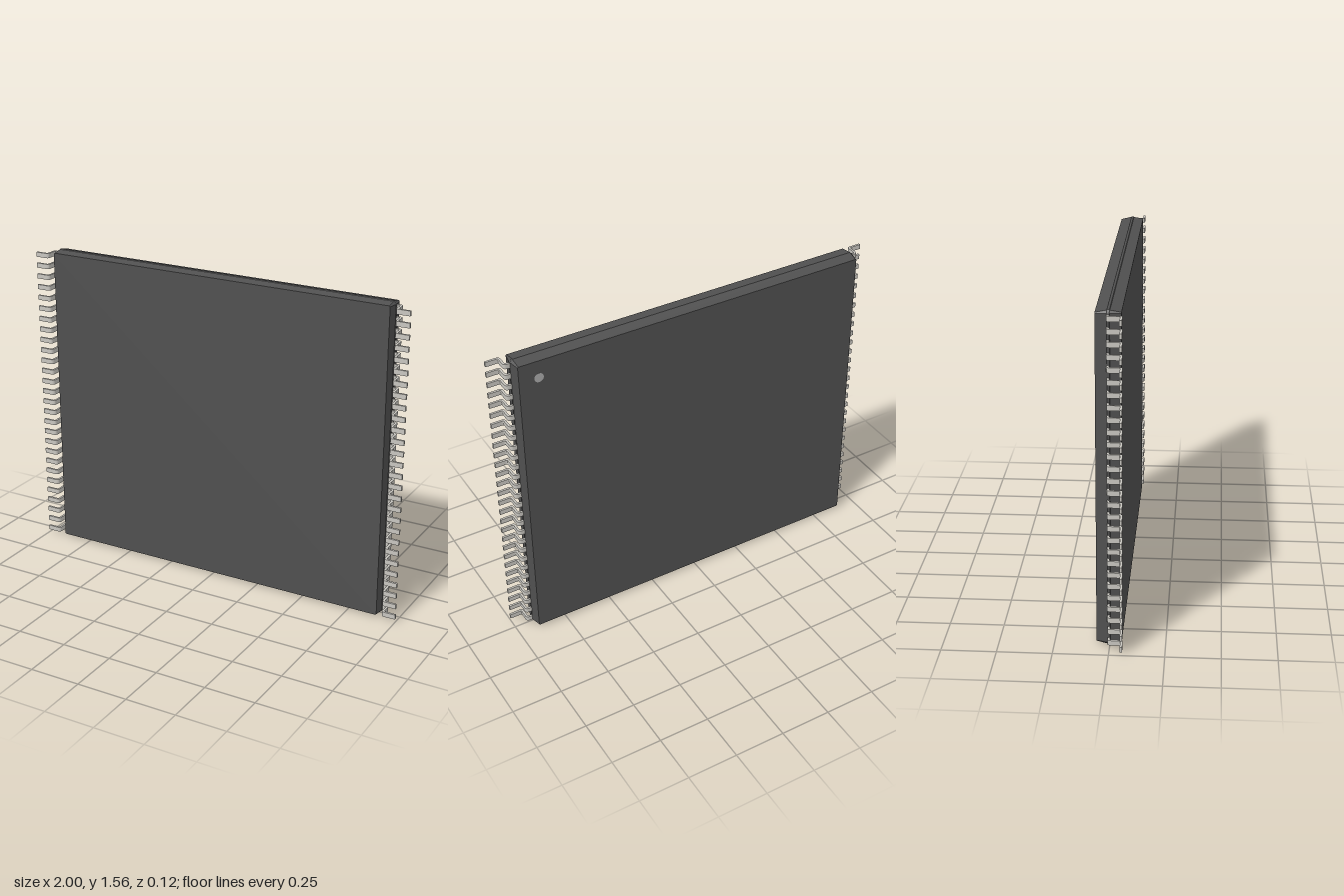
import * as THREE from 'three';

const HALF_H = 0.78, LEADS = 28, PITCH = 0.0557, LEAD_W = 0.024;

// Eight-sided rectangle outline with small chamfered corners at depth z
function ring(hx, hy, c, z) {
  return [
    [hx, -hy + c], [hx, hy - c], [hx - c, hy], [-hx + c, hy],
    [-hx, hy - c], [-hx, -hy + c], [-hx + c, -hy], [hx - c, -hy],
  ].map(([x, y]) => [x, y + HALF_H, z]);
}

// Moulded package: cross-sections stacked from back to front, capped at both ends
function bodyGeometry() {
  const rings = [
    ring(0.897, 0.767, 0.004, -0.0605),
    ring(0.908, 0.778, 0.012, -0.011),
    ring(0.910, 0.780, 0.014, -0.009),
    ring(0.910, 0.780, 0.014, 0.002),
    ring(0.908, 0.778, 0.012, 0.004),
    ring(0.900, 0.770, 0.004, 0.0525),
  ];
  const pos = [];
  const tri = (a, b, c) => pos.push(...a, ...b, ...c);
  for (let i = 0; i < rings.length - 1; i++) {
    for (let j = 0; j < 8; j++) {
      const k = (j + 1) % 8, lo = rings[i], hi = rings[i + 1];
      tri(lo[j], lo[k], hi[k]);
      tri(lo[j], hi[k], hi[j]);
    }
  }
  const back = rings[0], front = rings[rings.length - 1];
  for (let j = 1; j < 7; j++) {
    tri(front[0], front[j], front[j + 1]);
    tri(back[0], back[j + 1], back[j]);
  }
  const g = new THREE.BufferGeometry();
  g.setAttribute('position', new THREE.Float32BufferAttribute(pos, 3));
  g.computeVertexNormals();
  return g;
}

// Gull-wing lead: bent strip profile in x/z, extruded along y
function leadGeometry(side) {
  const s = new THREE.Shape();
  const to = (x, z) => s.lineTo(side * x, z);
  const bend = (cx, cz, x, z) => s.quadraticCurveTo(side * cx, cz, side * x, z);
  s.moveTo(side * 0.89, -0.010);
  to(0.924, -0.010);
  bend(0.940, -0.010, 0.940, 0.006);
  to(0.940, 0.043);
  bend(0.940, 0.0495, 0.947, 0.0495);
  to(1.0, 0.0495);
  to(1.0, 0.0605);
  to(0.945, 0.0605);
  bend(0.929, 0.0605, 0.929, 0.045);
  to(0.929, 0.008);
  bend(0.929, 0.001, 0.922, 0.001);
  to(0.89, 0.001);
  s.closePath();
  const g = new THREE.ExtrudeGeometry(s, { depth: LEAD_W, bevelEnabled: false, curveSegments: 5 });
  g.translate(0, 0, -LEAD_W / 2);
  g.rotateX(Math.PI / 2);
  return g;
}

export function createModel() {
  const group = new THREE.Group();
  const add = (parent, name, geometry, material) => {
    const mesh = new THREE.Mesh(geometry, material);
    mesh.name = name;
    parent.add(mesh);
    return mesh;
  };
  const plastic = new THREE.MeshStandardMaterial({ color: 0x505050 });
  const metal = new THREE.MeshStandardMaterial({ color: 0xc8c6c0 });
  const mark = new THREE.MeshStandardMaterial({ color: 0xaaaaaa });

  add(group, 'packageBody', bodyGeometry(), plastic);

  // Orientation dot in the upper corner of the back face
  const dot = add(group, 'orientationDot', new THREE.CylinderGeometry(0.023, 0.023, 0.004, 32), mark);
  dot.rotation.x = Math.PI / 2;
  dot.position.set(0.80, 1.46, -0.0592);

  // Rows of leads down both sides
  for (const side of [1, -1]) {
    const row = new THREE.Group();
    row.name = side > 0 ? 'leftLeads' : 'rightLeads';
    const geometry = leadGeometry(side);
    for (let i = 0; i < LEADS; i++) {
      const lead = add(row, 'lead', geometry, metal);
      lead.position.y = HALF_H + (i - (LEADS - 1) / 2) * PITCH;
    }
    group.add(row);
  }
  return group;
}
